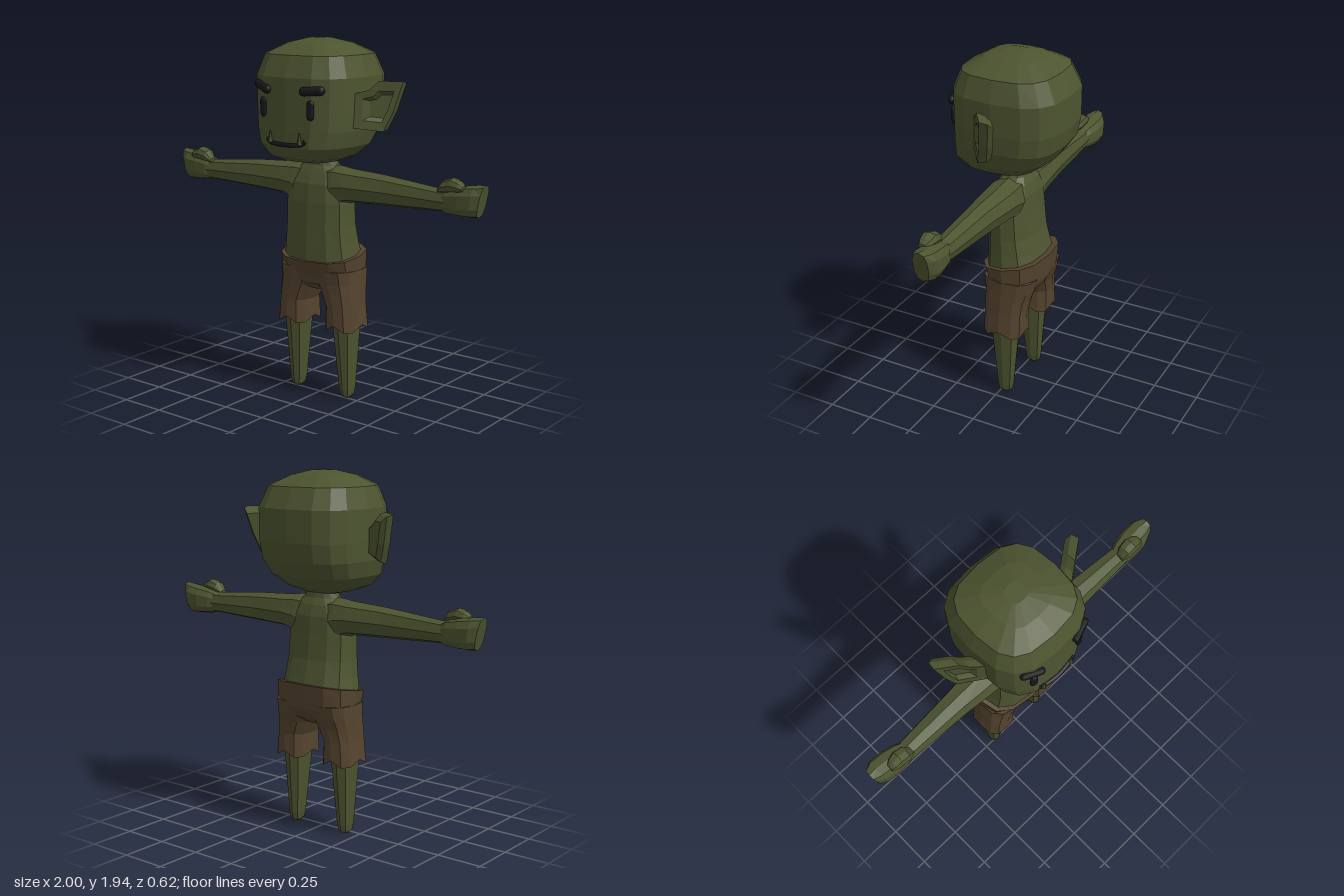
import * as THREE from 'three';

const V = (x, y, z) => new THREE.Vector3(x, y, z);

function material(name, color) {
  const m = new THREE.MeshStandardMaterial({ color });
  m.name = name;
  return m;
}

// Unit superellipse: square-ish loop of n points
function loop(n, power) {
  return Array.from({ length: n }, (_, i) => {
    const a = (i / n) * Math.PI * 2 + 1e-9;
    const f = (t) => Math.sign(t) * Math.pow(Math.abs(t), 2 / power);
    return [f(Math.cos(a)), f(Math.sin(a))];
  });
}

// Faceted closed skin through rings of equal length, always facing outward
function loft(rings) {
  const tris = [], n = rings[0].length;
  for (let r = 0; r < rings.length - 1; r++) {
    for (let i = 0; i < n; i++) {
      const j = (i + 1) % n, a = rings[r], b = rings[r + 1];
      tris.push([a[i], a[j], b[j]], [a[i], b[j], b[i]]);
    }
  }
  const cap = (ring, flip) => {
    const c = ring.reduce((s, p) => s.add(p), V(0, 0, 0)).divideScalar(n);
    ring.forEach((p, i) => {
      const q = ring[(i + 1) % n];
      tris.push(flip ? [c, q, p] : [c, p, q]);
    });
  };
  cap(rings[0], true);
  cap(rings[rings.length - 1], false);
  const o = rings[0][0];
  const volume = tris.reduce((s, [a, b, c]) =>
    s + a.clone().sub(o).dot(b.clone().sub(o).cross(c.clone().sub(o))), 0);
  const pts = tris.flatMap(([a, b, c]) => (volume < 0 ? [a, c, b] : [a, b, c]));
  const g = new THREE.BufferGeometry().setFromPoints(pts);
  g.computeVertexNormals();
  return g;
}

// Rows of [y, x min, x max, z front, z back]; shift lets y vary around a ring
function upright(rows, n, power, shift = () => 0) {
  return rows.map(([y, x0, x1, zf, zb], r) => loop(n, power).map(([u, v], i) =>
    V((x0 + x1) / 2 + u * (x1 - x0) / 2, y + shift(r, v, i), (zf + zb) / 2 + v * (zf - zb) / 2)));
}
const centred = (rows) => rows.map(([y, h, zf, zb]) => [y, -h, h, zf, zb]);

// Rows of [x, y low, y high, z front, z back, lean of the ring]
function sideways(rows, n, power) {
  return rows.map(([x, y0, y1, zf, zb, lean = 0]) => loop(n, power).map(([u, v]) =>
    V(x + u * lean, (y0 + y1) / 2 + u * (y1 - y0) / 2, (zf + zb) / 2 + v * (zf - zb) / 2)));
}
const mirrored = (rings, s) => rings.map((r) => r.map((p) => V(p.x * s, p.y, p.z)));

export function createModel() {
  const model = new THREE.Group();
  const skin = material('green skin', 0x4d5430);
  const cloth = material('brown cloth', 0x54432e);
  const dark = material('dark features', 0x17171b);
  const add = (name, geometry, mat) => {
    const m = new THREE.Mesh(geometry, mat);
    m.name = name;
    model.add(m);
    return m;
  };

  // Boxy rounded head with a flat face
  add('head', loft(upright(centred([
    [1.295, 0.08, 0.12, -0.06], [1.31, 0.15, 0.2, -0.09], [1.335, 0.205, 0.255, -0.15],
    [1.395, 0.262, 0.292, -0.23], [1.48, 0.288, 0.293, -0.29], [1.58, 0.295, 0.293, -0.31],
    [1.75, 0.298, 0.293, -0.31], [1.86, 0.26, 0.25, -0.255], [1.915, 0.15, 0.15, -0.15],
    [1.94, 0.05, 0.05, -0.05],
  ]), 16, 3)), skin);

  // Torso and neck
  add('torso', loft(upright(centred([
    [0.68, 0.2, 0.1, -0.16], [0.77, 0.218, 0.125, -0.185], [0.86, 0.205, 0.122, -0.16],
    [0.95, 0.197, 0.118, -0.138], [1.08, 0.195, 0.112, -0.125], [1.18, 0.18, 0.1, -0.118],
    [1.24, 0.145, 0.075, -0.1], [1.275, 0.1, 0.055, -0.08], [1.33, 0.075, 0.045, -0.07],
  ]), 12, 2.5)), skin);

  // Shorts: seat with a waistband that rises at the back
  add('shortsSeat', loft(upright(centred([
    [0.6, 0.06, 0.05, -0.1], [0.64, 0.2, 0.095, -0.165], [0.69, 0.236, 0.108, -0.19],
    [0.797, 0.24, 0.142, -0.203], [0.797, 0.222, 0.127, -0.188],
  ]), 12, 2.6, (r, v) => (r > 2 ? -0.03 * v : 0))), cloth);

  for (const s of [1, -1]) {
    const side = s > 0 ? 'left' : 'right';

    // Arm widening into the shoulder
    add(side + 'Arm', loft(mirrored(sideways([
      [0.04, 1.06, 1.27, 0.075, -0.1], [0.13, 1.06, 1.278, 0.088, -0.11],
      [0.21, 1.088, 1.268, 0.085, -0.108], [0.42, 1.097, 1.256, 0.065, -0.085],
      [0.8, 1.112, 1.22, 0.045, -0.06],
    ], 8, 2.4), s)), skin);

    // Fist with a slanted end
    add(side + 'Hand', loft(mirrored(sideways([
      [0.755, 1.115, 1.215, 0.035, -0.05], [0.8, 1.103, 1.235, 0.048, -0.07],
      [0.87, 1.098, 1.25, 0.05, -0.085, 0.005], [0.94, 1.096, 1.262, 0.045, -0.085, 0.012],
      [0.98, 1.1, 1.266, 0.025, -0.06, 0.018],
    ], 10, 2.8), s)), skin);
    add(side + 'Thumb', loft(mirrored(sideways([
      [0.755, 1.212, 1.232, 0.045, 0.0], [0.785, 1.212, 1.275, 0.06, -0.02],
      [0.835, 1.218, 1.292, 0.062, -0.025], [0.875, 1.222, 1.275, 0.056, -0.015],
      [0.897, 1.228, 1.255, 0.045, 0.0],
    ], 8, 2.6), s)), skin);

    // Tapered bare leg
    add(side + 'Leg', loft(mirrored(upright([
      [0.55, 0.085, 0.23, 0.065, -0.11], [0.39, 0.1, 0.226, 0.056, -0.1],
      [0.05, 0.13, 0.206, 0.022, -0.072], [0.015, 0.137, 0.2, 0.015, -0.065],
      [0, 0.15, 0.187, 0, -0.05],
    ], 8, 2.5), s)), skin);

    // Shorts leg with a ragged, hollow hem
    add(side + 'ShortsLeg', loft(mirrored(upright([
      [0.72, 0, 0.238, 0.11, -0.185], [0.65, 0, 0.242, 0.1, -0.17],
      [0.595, 0.03, 0.246, 0.096, -0.152], [0.52, 0.065, 0.25, 0.094, -0.143],
      [0.405, 0.058, 0.264, 0.096, -0.146], [0.415, 0.082, 0.242, 0.075, -0.122],
      [0.5, 0.095, 0.225, 0.06, -0.1],
    ], 12, 2.5, (r, v, i) => (r === 4 || r === 5 ? (i % 3 ? -0.012 : 0.02) : 0)), s)), cloth);

    // Pointed ear swept back, with a recessed inner face
    const outline = [[0.28, 1.67], [0.345, 1.69], [0.385, 1.735], [0.485, 1.733],
      [0.445, 1.58], [0.405, 1.478], [0.28, 1.495]];
    const earRing = (scale, depth, cx = 0.38, cy = 1.6) => outline.map(([x, y]) => {
      const px = cx + (x - cx) * scale, py = cy + (y - cy) * scale;
      return V(px * s, py, 0.085 - 0.72 * (px - 0.29) - depth);
    });
    add(side + 'Ear', loft([
      earRing(0.72, 0.085, 0.34), earRing(0.93, 0.05, 0.36), earRing(1, 0),
      earRing(0.62, 0.004), earRing(0.46, 0.032),
    ]), skin);

    // Eye
    const eye = new THREE.CapsuleGeometry(0.021, 0.06, 4, 10);
    eye.scale(1, 1, 0.6);
    const e = add(side + 'Eye', eye, dark);
    e.position.set(0.153 * s, 1.593, 0.28);
    e.rotation.y = 0.2 * s;

    // Brow, one raised at its outer end
    const brow = new THREE.CapsuleGeometry(0.023, 0.09, 4, 10);
    brow.rotateZ(Math.PI / 2);
    brow.scale(1, 1, 0.8);
    const b = add(side + 'Brow', brow, dark);
    b.position.set(0.16 * s, s > 0 ? 1.69 : 1.697, 0.276);
    b.rotation.set(0, 0.34 * s, s > 0 ? 0.06 : -0.27);

    // Small tusk
    const tusk = add(side + 'Tusk', new THREE.ConeGeometry(0.016, 0.065, 5).toNonIndexed(), skin);
    tusk.geometry.computeVertexNormals();
    tusk.position.set(0.095 * s, 1.45, 0.295);
    tusk.rotation.x = 0.1;
  }

  // Mouth line following the face
  const smile = new THREE.CatmullRomCurve3([
    V(-0.122, 1.435, 0.28), V(-0.1, 1.417, 0.286), V(0, 1.41, 0.298),
    V(0.1, 1.417, 0.286), V(0.122, 1.435, 0.28),
  ]);
  add('mouth', new THREE.TubeGeometry(smile, 16, 0.012, 6), dark);

  return model;
}
